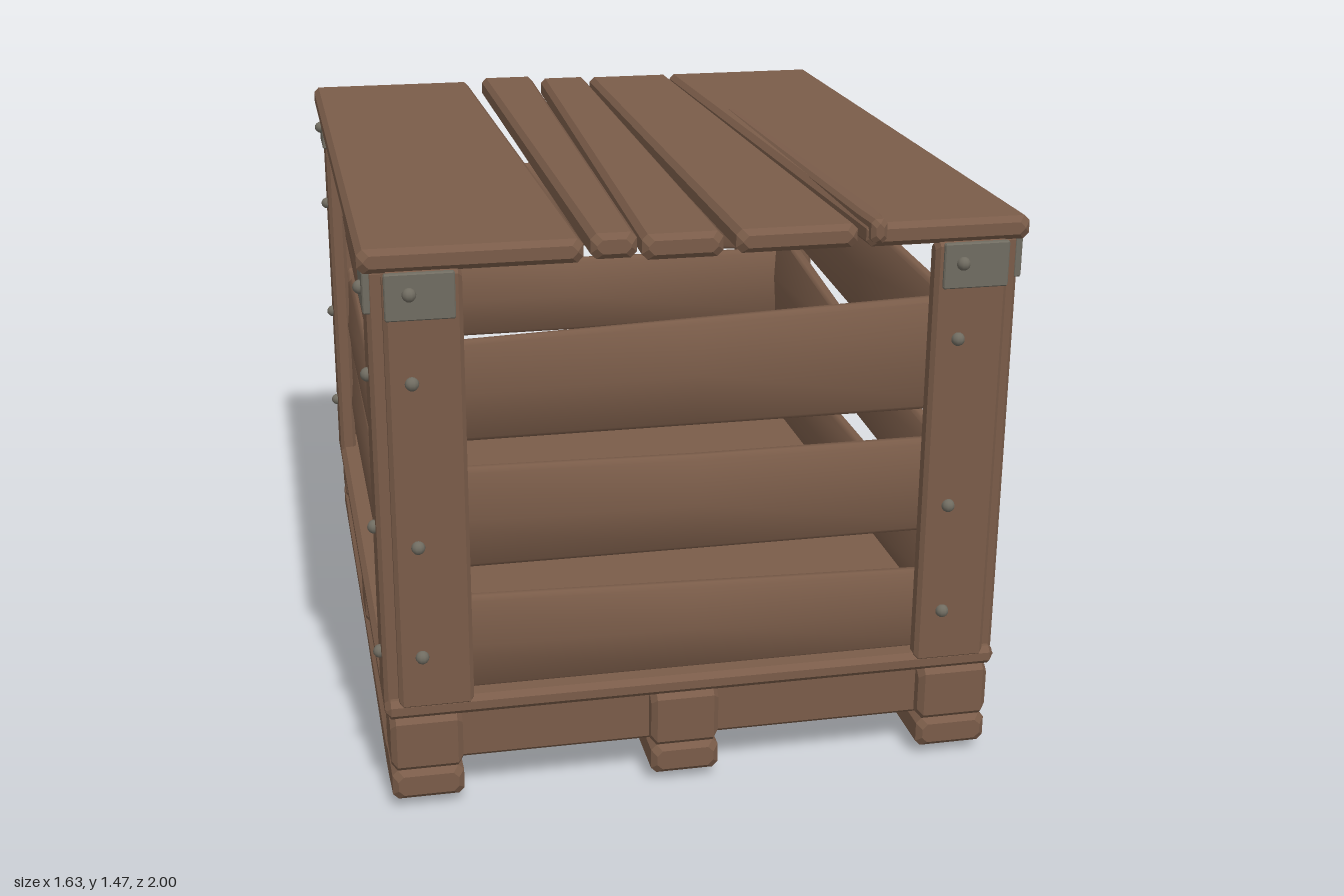
import * as THREE from 'three';
import { toCreasedNormals } from 'three/addons/utils/BufferGeometryUtils.js';

const wood = new THREE.MeshStandardMaterial({ color: 0x7a5c49 });
wood.name = 'brown wood';
const metal = new THREE.MeshStandardMaterial({ color: 0x706c61 });
metal.name = 'grey metal';

// Chamfered board lofted through sections [t, w0, w1, d0, d1].
// axes names the world axes for length, width and depth, such as 'zxy'.
function board(name, axes, sections, { c = 0.01, bulge = 0, crease = 0.5, mat = wood } = {}) {
  const first = sections[0], last = sections[sections.length - 1];
  const inset = ([t, a, b, d, e], dt) => [t + dt, a, b, d, e];
  const shrink = ([t, a, b, d, e]) => [t, a + c, b - c, d + c, e - c];
  const all = [shrink(first), inset(first, c), ...sections.slice(1, -1), inset(last, -c), shrink(last)];
  const order = [...axes].map(a => 'xyz'.indexOf(a));
  const flip = !['xyz', 'yzx', 'zxy'].includes(axes);
  const loops = all.map(([t, w0, w1, d0, d1]) => {
    const m = (w0 + w1) / 2;
    const pts = [[w0 + c, d0], [w1 - c, d0], [w1, d0 + c], [w1, d1 - c],
      [w1 - c, d1], [w0 + c, d1], [w0, d1 - c], [w0, d0 + c]];
    if (bulge) {
      pts.splice(5, 0, [m, d1 + bulge]);
      pts.splice(1, 0, [m, d0 - bulge]);
    }
    return pts.map(([w, d]) => {
      const p = [0, 0, 0];
      [t, w, d].forEach((v, i) => { p[order[i]] = v; });
      return p;
    });
  });
  const n = loops[0].length, index = [];
  const tri = (a, b, k) => flip ? index.push(a, k, b) : index.push(a, b, k);
  for (let i = 0; i < loops.length - 1; i++) {
    for (let j = 0; j < n; j++) {
      const a = i * n + j, b = i * n + (j + 1) % n;
      tri(a, b, b + n);
      tri(a, b + n, a + n);
    }
  }
  const end = (loops.length - 1) * n;
  for (let j = 1; j < n - 1; j++) {
    tri(0, j + 1, j);
    tri(end, end + j, end + j + 1);
  }
  const geo = new THREE.BufferGeometry();
  geo.setAttribute('position', new THREE.Float32BufferAttribute(loops.flat(2), 3));
  geo.setIndex(index);
  const mesh = new THREE.Mesh(toCreasedNormals(geo, crease), mat);
  mesh.name = name;
  return mesh;
}

// Straight board given by its limits on each axis
const box = (name, x0, x1, y0, y1, z0, z1, opts) =>
  board(name, 'xyz', [[x0, y0, y1, z0, z1], [x1, y0, y1, z0, z1]], opts);

function rivet(x, y, z) {
  const mesh = new THREE.Mesh(new THREE.SphereGeometry(0.017, 10, 8), metal);
  mesh.name = 'rivet';
  mesh.position.set(x, y, z);
  return mesh;
}

export function createModel() {
  const model = new THREE.Group();
  model.name = 'woodenCrate';
  const group = name => {
    const g = new THREE.Group();
    g.name = name;
    model.add(g);
    return g;
  };

  // Pallet base: blocks, cross beams, runners and floor
  const pallet = group('pallet');
  const xs = [[-0.78, -0.6], [-0.12, 0.055], [0.59, 0.775]];
  const zs = [[-0.97, -0.8], [-0.085, 0.085], [0.8, 0.97]];
  for (const [x0, x1] of xs) {
    for (const [z0, z1] of zs) {
      pallet.add(box('palletBlock', x0, x1, z0 < -0.5 || z0 > 0.5 ? 0.11 : 0.085, 0.257, z0, z1, { c: 0.014 }));
    }
    pallet.add(box('lengthBeam', x0 + 0.04, x1 - 0.04, 0.115, 0.257, -0.9, 0.9));
  }
  for (const [z0, z1] of zs) {
    pallet.add(box('crossBeam', -0.7, 0.7, 0.113, 0.257, z0 + 0.04, z1 - 0.04));
  }
  xs.forEach(([x0, x1], i) => {
    const dip = i === 0 ? 0.028 : 0;
    pallet.add(board('runner', 'zxy', [
      [-0.97, x0, x1, 0.03, 0.11], [-0.8, x0, x1, 0.03, 0.11], [-0.7, x0, x1, 0.03, 0.085],
      [0, x0, x1, 0.03, 0.085], [0.75, x0, x1, 0.03 - dip, 0.085],
      [0.82, x0, x1, 0.03 - dip * 0.8, 0.11], [0.97, x0, x1, 0.03, 0.11],
    ], { c: 0.014 }));
  });
  pallet.add(box('floor', -0.79, 0.79, 0.255, 0.305, -0.97, 0.97, { c: 0.014 }));

  // Corner posts: two planks each, with metal plates and rivets
  const posts = group('cornerPosts');
  const span = (s, a, b) => s > 0 ? [a, b] : [-b, -a];
  for (const sx of [-1, 1]) {
    for (const sz of [-1, 1]) {
      const [ax, bx] = span(sx, 0.57, 0.755), [az, bz] = span(sz, 0.925, 0.973);
      posts.add(box('endPostPlank', ax, bx, 0.285, 1.405, az, bz));
      const [cx, dx] = span(sx, 0.742, 0.79), [cz, dz] = span(sz, 0.79, 0.945);
      posts.add(box('sidePostPlank', cx, dx, 0.275, 1.405, cz, dz));

      const [px, qx] = span(sx, 0.588, 0.752), [pz, qz] = span(sz, 0.965, 0.982);
      posts.add(box('endPlate', px, qx, 1.29, 1.403, pz, qz, { c: 0.003, mat: metal }));
      const [ex, fx] = span(sx, 0.78, 0.799), [ez, fz] = span(sz, 0.793, 0.945);
      posts.add(box('sidePlate', ex, fx, 1.3, 1.403, ez, fz, { c: 0.003, mat: metal }));

      const endX = sx > 0 ? 0.635 : -0.695;
      posts.add(rivet(endX, 1.353, sz * 0.983));
      for (const y of [sx > 0 ? 1.16 : 1.135, 0.72, 0.428]) posts.add(rivet(endX, y, sz * 0.975));
      posts.add(rivet(sx * 0.8, 1.35, sz * 0.885));
      for (const y of [sz > 0 ? 1.135 : 1.105, 0.745, sz > 0 ? 0.41 : 0.44]) {
        posts.add(rivet(sx * 0.792, y, sz * 0.885));
      }
    }
  }

  // Wall slats: heights [bottom, top] at the start, middle and end of each slat
  const slats = group('wallSlats');
  const addSlats = (name, axes, half, d0, d1, rows) => {
    for (const [a, b, e] of rows) {
      slats.add(board(name, axes, [[-half, ...a, d0, d1], [0, ...b, d0, d1], [half, ...e, d0, d1]],
        { bulge: 0.014, crease: 1.0 }));
    }
  };
  addSlats('frontSlat', 'xyz', 0.74, 0.885, 0.92, [
    [[0.96, 1.205], [0.96, 1.23], [0.96, 1.255]],
    [[0.63, 0.893], [0.63, 0.88], [0.63, 0.88]],
    [[0.3, 0.555], [0.3, 0.535], [0.3, 0.515]],
  ]);
  addSlats('backSlat', 'xyz', 0.74, -0.92, -0.885, [
    [[0.97, 1.2], [0.92, 1.2], [0.865, 1.2]],
    [[0.63, 0.88], [0.63, 0.875], [0.64, 0.87]],
    [[0.3, 0.535], [0.3, 0.61], [0.3, 0.67]],
  ]);
  addSlats('leftSlat', 'zyx', 0.92, 0.7, 0.735, [
    [[0.96, 1.27], [0.907, 1.21], [0.86, 1.18]],
    [[0.61, 0.94], [0.605, 0.83], [0.57, 0.78]],
    [[0.3, 0.525], [0.3, 0.525], [0.3, 0.525]],
  ]);
  addSlats('rightSlat', 'zyx', 0.92, -0.735, -0.7, [
    [[0.96, 1.2], [0.92, 1.203], [0.88, 1.208]],
    [[0.59, 0.85], [0.6, 0.835], [0.6, 0.823]],
    [[0.3, 0.615], [0.3, 0.575], [0.3, 0.525]],
  ]);

  // Lid planks: [back x0, back x1, front x0, front x1, bottom, top, z back, z front]
  const lid = group('lid');
  for (const [a, b, e, f, y0, y1, z0, z1] of [
    [-0.81, -0.32, -0.81, -0.287, 1.402, 1.46, -0.98, 0.975],
    [-0.275, -0.112, -0.27, -0.16, 1.406, 1.468, -0.99, 0.97],
    [-0.085, 0.06, -0.15, 0.045, 1.4, 1.462, -0.98, 0.978],
    [0.075, 0.333, 0.078, 0.375, 1.402, 1.46, -0.98, 0.97],
    [0.34, 0.805, 0.395, 0.805, 1.402, 1.46, -0.98, 0.975],
  ]) {
    lid.add(board('lidPlank', 'zxy', [[z0, a, b, y0, y1], [z1, e, f, y0, y1]], { c: 0.014 }));
  }
  // Splintered ridge along the edge of the last plank
  lid.add(board('lidSplinter', 'zxy', [
    [-0.4, 0.385, 0.42, 1.42, 1.461], [0.88, 0.397, 0.45, 1.415, 1.472], [0.99, 0.4, 0.44, 1.415, 1.474],
  ]));

  return model;
}
